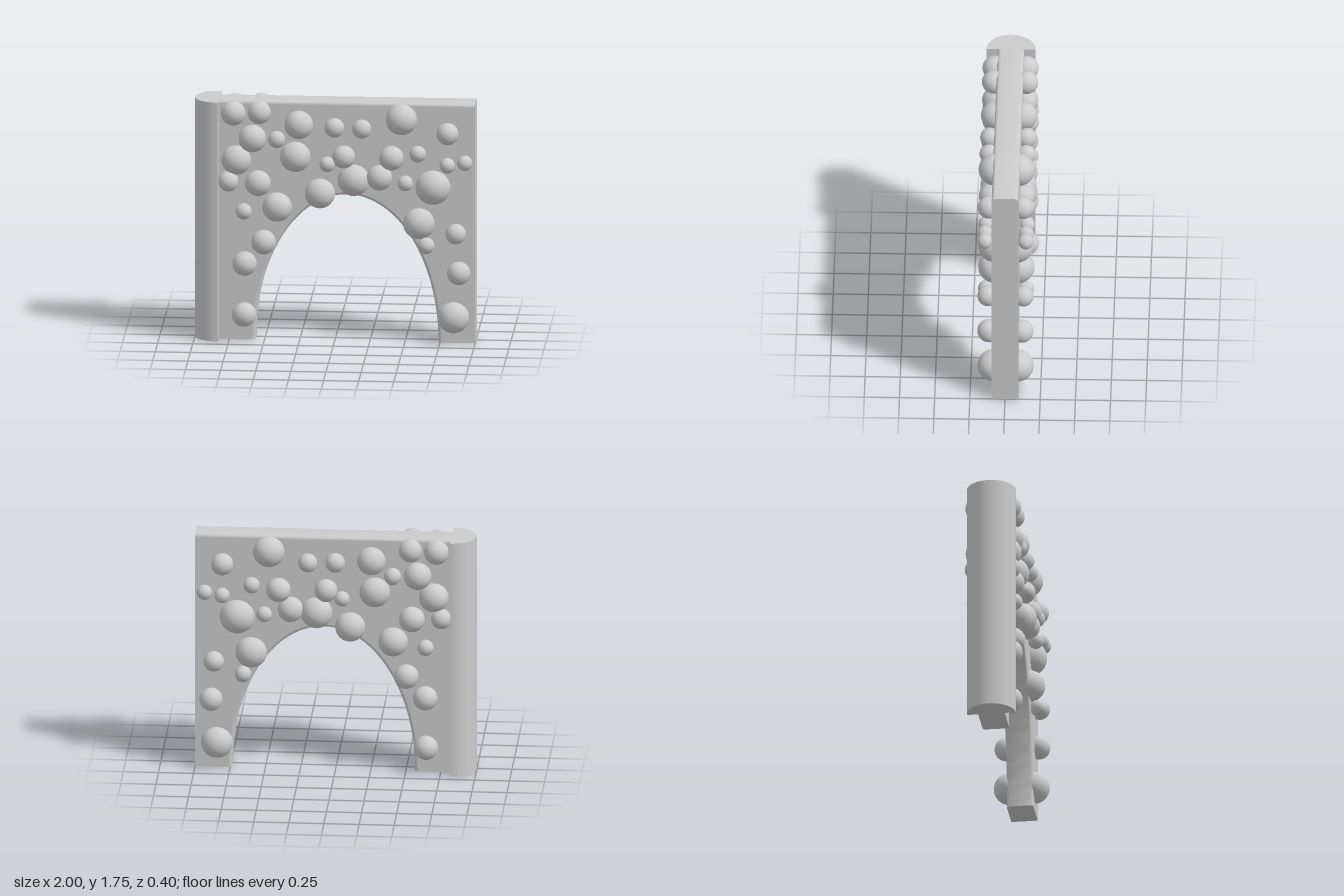
import * as THREE from 'three';
import { toCreasedNormals } from 'three/addons/utils/BufferGeometryUtils.js';

const HEIGHT = 1.75, LEFT = -0.825, RIGHT = 1, THICK = 0.19, BEVEL = 0.025, DEPTH = 0.2;

// Stones as [x, y, radius]
const LIGHT_STONES = [
  [-0.535, 1.67, 0.083], [-0.585, 1.475, 0.099], [-0.41, 1.48, 0.061], [-0.255, 1.58, 0.102],
  [-0.28, 1.345, 0.11], [0, 1.57, 0.07], [0.195, 1.565, 0.068], [0.475, 1.63, 0.113],
  [0.805, 1.535, 0.079], [0.93, 1.33, 0.055], [0.805, 1.31, 0.055], [0.405, 1.35, 0.087],
  [0.065, 1.355, 0.082], [-0.05, 1.305, 0.055], [0.32, 1.205, 0.091], [0.505, 1.175, 0.056],
  [-0.105, 1.08, 0.108], [-0.755, 1.165, 0.073], [-0.545, 1.15, 0.092], [-0.41, 0.975, 0.106],
  [-0.505, 0.72, 0.088], [-0.64, 0.56, 0.087], [0.655, 0.72, 0.059], [0.865, 0.805, 0.073],
  [0.885, 0.515, 0.083],
];
const DARK_STONES = [
  [-0.72, 1.66, 0.088], [-0.7, 1.315, 0.106], [-0.645, 0.95, 0.058], [-0.645, 0.187, 0.087],
  [0.135, 1.18, 0.115], [0.595, 1.39, 0.059], [0.7, 1.135, 0.127], [0.6, 0.87, 0.113],
  [0.845, 0.185, 0.114],
];

// Wall with an elliptical arch; only the top and arch edges stay rounded
function wallGeometry() {
  const shape = new THREE.Shape();
  shape.moveTo(LEFT, 0);
  shape.lineTo(-0.566, 0);
  shape.absellipse(0.086, 0, 0.652, 1.07, Math.PI, 0, true);
  shape.lineTo(RIGHT, 0);
  shape.lineTo(RIGHT, HEIGHT);
  shape.lineTo(LEFT, HEIGHT);
  shape.closePath();
  const depth = THICK - 2 * BEVEL;
  const extruded = new THREE.ExtrudeGeometry(shape, {
    depth, curveSegments: 48, bevelEnabled: true, bevelSize: BEVEL,
    bevelThickness: BEVEL, bevelOffset: -BEVEL, bevelSegments: 4,
  });
  extruded.translate(0, 0, -depth / 2);
  // Square off the side ends and the feet
  const p = extruded.attributes.position, reach = BEVEL + 0.002;
  for (let i = 0; i < p.count; i++) {
    if (p.getX(i) > RIGHT - reach) p.setX(i, RIGHT);
    if (p.getX(i) < LEFT + reach) p.setX(i, LEFT);
    if (p.getY(i) < reach) p.setY(i, 0);
  }
  // Smooth the bevels but keep the broad faces evenly flat
  const geo = toCreasedNormals(extruded, 0.6);
  const pos = geo.attributes.position, normal = geo.attributes.normal;
  for (let i = 0; i < pos.count; i++) {
    const nz = normal.getZ(i);
    if (Math.abs(pos.getZ(i)) > THICK / 2 - 0.001 && Math.abs(nz) > 0.7) normal.setXYZ(i, 0, 0, Math.sign(nz));
  }
  return geo;
}

export function createModel() {
  const model = new THREE.Group();
  model.name = 'stoneArch';
  const white = new THREE.MeshStandardMaterial({ color: 0xffffff });
  const darkGrey = new THREE.MeshStandardMaterial({ color: 0xbcbcbc });
  const add = (parent, name, geo, mat, x, y, z) => {
    const mesh = new THREE.Mesh(geo, mat);
    mesh.name = name;
    mesh.position.set(x, y, z);
    parent.add(mesh);
  };

  add(model, 'archWall', wallGeometry(), white, 0, 0, 0);

  // Half-round column closing the wall's end
  const column = new THREE.Group();
  column.name = 'halfColumn';
  const r = RIGHT + LEFT;
  add(column, 'columnRound', new THREE.CylinderGeometry(r, r, HEIGHT, 32, 1, false, Math.PI, Math.PI),
    white, LEFT, HEIGHT / 2, 0);
  add(column, 'columnFlat', new THREE.PlaneGeometry(2 * r, HEIGHT).rotateY(Math.PI / 2),
    white, LEFT, HEIGHT / 2, 0);
  model.add(column);

  // Round stones on both faces, all standing out to the same depth
  const sphere = new THREE.SphereGeometry(1, 32, 20);
  for (const [name, side] of [['frontStones', 1], ['backStones', -1]]) {
    const group = new THREE.Group();
    group.name = name;
    for (const [label, list, mat] of [['lightStone', LIGHT_STONES, white], ['darkStone', DARK_STONES, darkGrey]]) {
      for (const [x, y, radius] of list) {
        add(group, label, sphere, mat, x, y, side * (DEPTH - radius));
        group.children.at(-1).scale.setScalar(radius);
      }
    }
    model.add(group);
  }
  return model;
}
